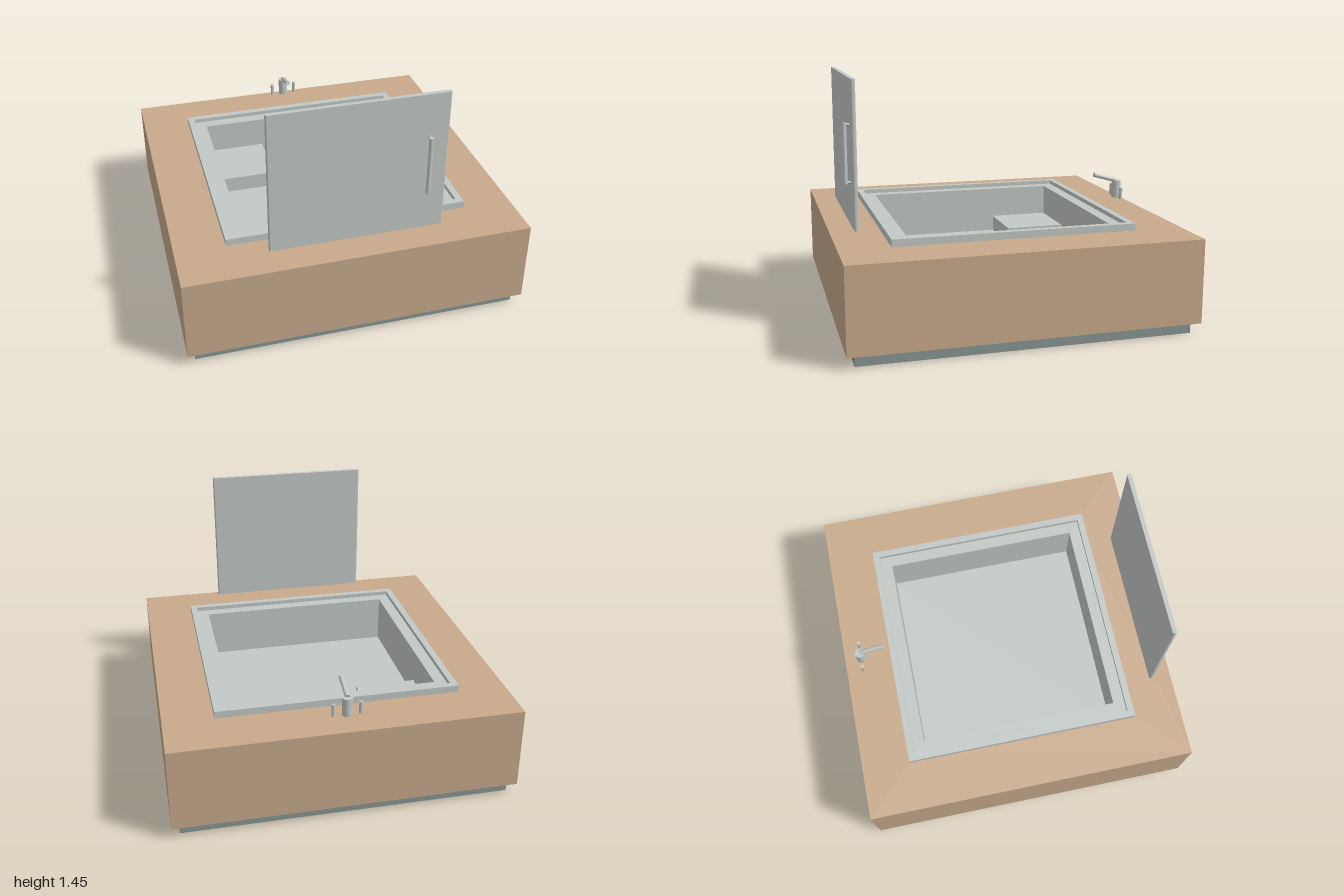
import * as THREE from 'three';

export function createModel() {
  const group = new THREE.Group();
  const material = (name, color) => {
    const m = new THREE.MeshStandardMaterial({ color });
    m.name = name;
    return m;
  };
  const wood = material('light wood', 0xc8aa8c);
  const pale = material('pale grey', 0xc2c8c5);
  const slate = material('slate grey', 0x869593);

  const add = (name, geometry, mat, x = 0, y = 0, z = 0) => {
    const mesh = new THREE.Mesh(geometry, mat);
    mesh.name = name;
    mesh.position.set(x, y, z);
    group.add(mesh);
    return mesh;
  };
  // Box given by its lower and upper corners
  const box = (name, mat, [x0, y0, z0], [x1, y1, z1]) =>
    add(name, new THREE.BoxGeometry(x1 - x0, y1 - y0, z1 - z0), mat,
      (x0 + x1) / 2, (y0 + y1) / 2, (z0 + z1) / 2);
  // Round bar between two points
  const bar = (name, a, b, radius, sides = 16) => {
    const from = new THREE.Vector3(...a), to = new THREE.Vector3(...b);
    const dir = to.clone().sub(from);
    const mesh = add(name, new THREE.CylinderGeometry(radius, radius, dir.length(), sides), pale);
    mesh.position.copy(from).lerp(to, 0.5);
    mesh.quaternion.setFromUnitVectors(new THREE.Vector3(0, 1, 0), dir.normalize());
    return mesh;
  };
  // Square ring with half widths outer and inner, from y0 to y1
  const square = (h, Type) => new Type([[-h, -h], [h, -h], [h, h], [-h, h]].map(p => new THREE.Vector2(...p)));
  const frame = (name, mat, outer, inner, y0, y1) => {
    const shape = square(outer, THREE.Shape);
    shape.holes.push(square(inner, THREE.Path));
    const geometry = new THREE.ExtrudeGeometry(shape, { depth: y1 - y0, bevelEnabled: false });
    geometry.rotateX(-Math.PI / 2);
    return add(name, geometry, mat, 0, y0, 0);
  };

  // Plinth and wooden surround
  box('plinth', slate, [-0.955, 0, -0.955], [0.955, 0.068, 0.955]);
  frame('surround', wood, 1, 0.67, 0.068, 0.558);

  // Sunken basin: raised rim, ledge with walls, floor and corner seat
  frame('rim', pale, 0.71, 0.67, 0.55, 0.6);
  frame('basinWalls', pale, 0.67, 0.6, 0.26, 0.575);
  box('basinFloor', pale, [-0.6, 0.26, -0.6], [0.6, 0.28, 0.6]);
  box('cornerSeat', pale, [-0.6, 0.28, -0.6], [-0.225, 0.38, -0.225]);

  // Upright screen with softly rounded side edges
  const r = 0.009, w = 0.5, d = 0.0125;
  const plan = new THREE.Shape();
  plan.absarc(w - r, d - r, r, 0, Math.PI / 2);
  plan.absarc(-w + r, d - r, r, Math.PI / 2, Math.PI);
  plan.absarc(-w + r, -d + r, r, Math.PI, Math.PI * 1.5);
  plan.absarc(w - r, -d + r, r, Math.PI * 1.5, Math.PI * 2);
  const panel = new THREE.ExtrudeGeometry(plan, { depth: 0.842, bevelEnabled: false, curveSegments: 4 });
  panel.rotateX(-Math.PI / 2);
  add('screen', panel, pale, 0, 0.604, 0.867);

  // Screen handle
  bar('handleBar', [0.388, 0.853, 0.909], [0.388, 1.197, 0.909], 0.0125);
  for (const y of [0.862, 1.188]) bar('handleMount', [0.388, y, 0.875], [0.388, y, 0.909], 0.008);

  // Tap with spout and two valves
  bar('tapBody', [0, 0.604, -0.89], [0, 0.712, -0.89], 0.03, 20);
  bar('tapSpout', [0, 0.714, -0.888], [0, 0.757, -0.735], 0.014);
  for (const side of [-1, 1]) bar('tapValve', [side * 0.078, 0.604, -0.89], [side * 0.078, 0.677, -0.89], 0.011);

  return group;
}
